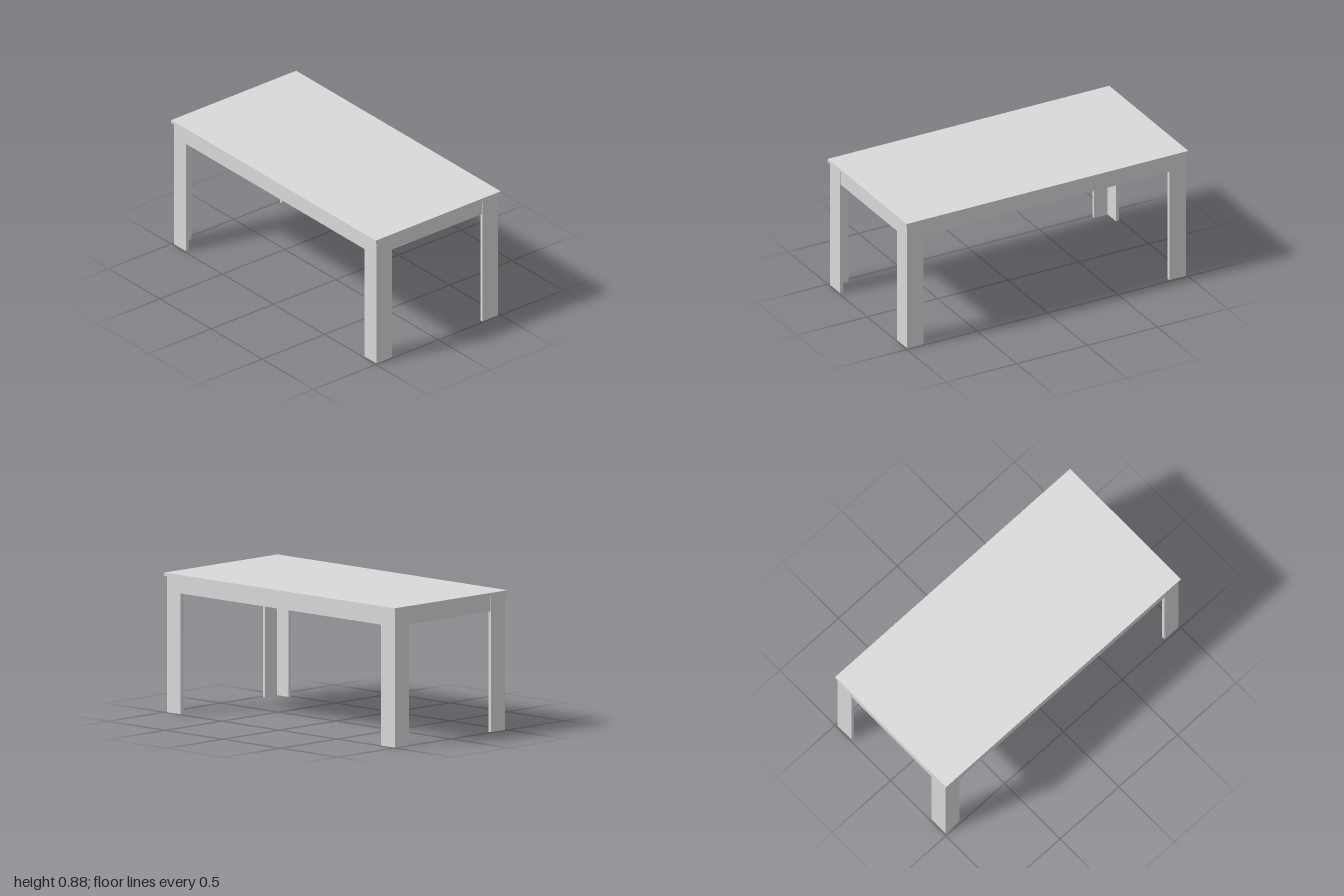
import * as THREE from 'three';

const T = 0.02;                  // board thickness
const X = 0.99, Z = 0.487;       // outer faces of the frame
const LEG_X = 0.118, LEG_Z = 0.126; // widths of the two boards of a leg
const TOP = 0.876, UNDER = TOP - T, APRON = 0.098;
const RECESS = 0.003;            // end aprons sit just behind the leg faces

export function createModel() {
  const group = new THREE.Group();
  const grey = new THREE.MeshStandardMaterial({ color: 0xd9d9d9 });
  grey.name = 'light grey board';

  const box = (name, w, h, d, x, y, z) => {
    const mesh = new THREE.Mesh(new THREE.BoxGeometry(w, h, d), grey);
    mesh.name = name;
    mesh.position.set(x, y, z);
    group.add(mesh);
  };

  // Thin table top with a narrow overhang
  box('tableTop', 2, T, 1, 0, UNDER + T / 2, 0);

  // Aprons between the legs
  const apronY = UNDER - APRON / 2;
  for (const s of [1, -1]) {
    box(s > 0 ? 'frontApron' : 'backApron', 2 * (X - LEG_X), APRON, T, 0, apronY, s * (Z - T / 2));
    box(s > 0 ? 'leftApron' : 'rightApron', T, APRON, 2 * (Z - LEG_Z), s * (X - RECESS - T / 2), apronY, 0);
  }

  // Angle legs: an L-shaped section extruded upwards, open to the inside
  for (const sx of [1, -1]) {
    for (const sz of [1, -1]) {
      const points = [[X, Z], [X - LEG_X, Z], [X - LEG_X, Z - T], [X - T, Z - T], [X - T, Z - LEG_Z], [X, Z - LEG_Z]]
        .map(([x, z]) => new THREE.Vector2(sx * x, -sz * z));
      const geometry = new THREE.ExtrudeGeometry(new THREE.Shape(points), { depth: UNDER, bevelEnabled: false });
      geometry.rotateX(-Math.PI / 2);
      const leg = new THREE.Mesh(geometry, grey);
      leg.name = (sz > 0 ? 'front' : 'back') + (sx > 0 ? 'Left' : 'Right') + 'Leg';
      group.add(leg);
    }
  }
  return group;
}
